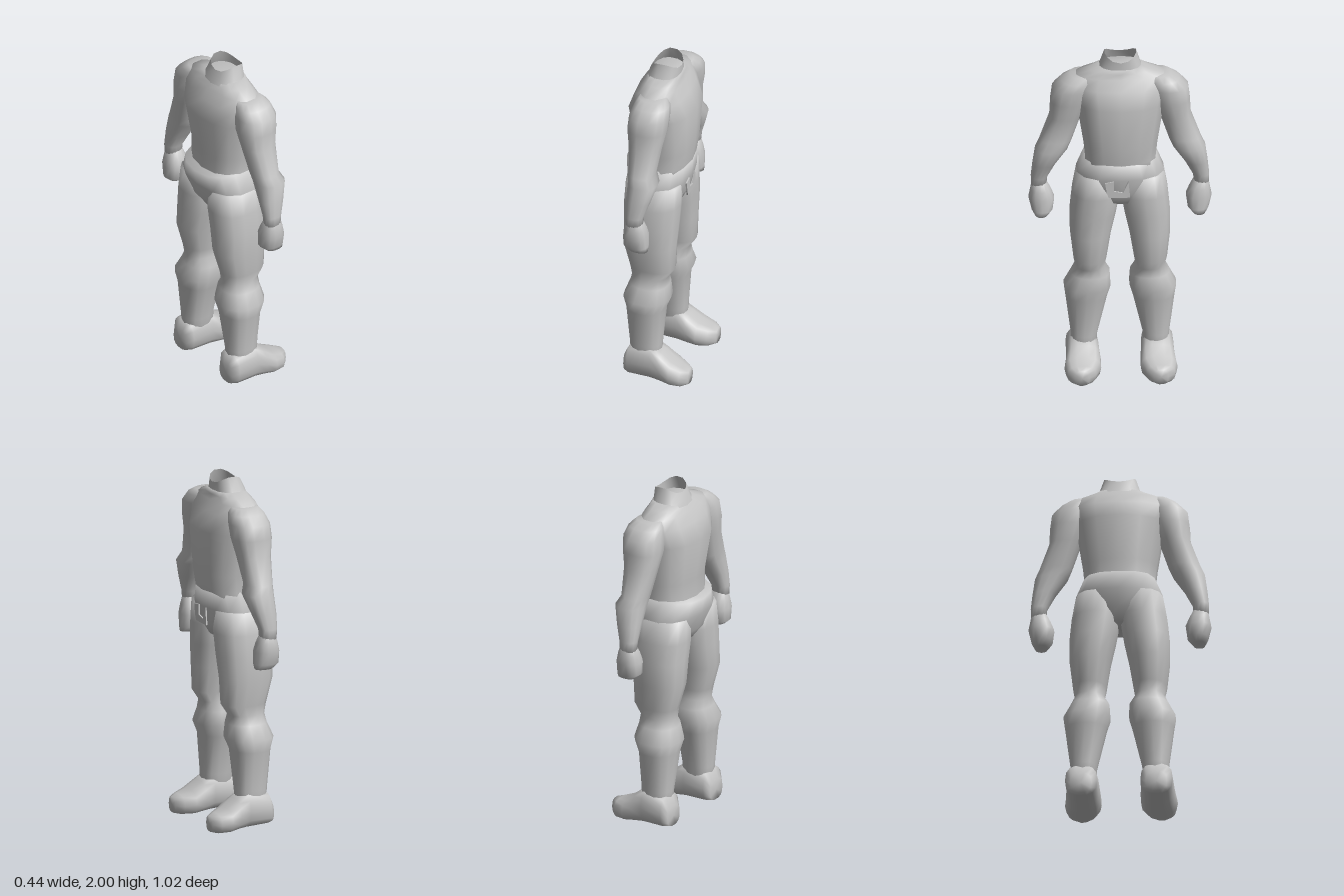
import * as THREE from 'three';

const SIDES = 14;
const grey = new THREE.MeshStandardMaterial({ color: 0xc4c4c4, side: THREE.DoubleSide });
grey.name = 'plain grey';

// Skin over rings [t, u0, u1, v0, v1, dip]; axis 'y' has u = x, v = z; axis 'x' has u = z, v = y
function loft(name, rings, { axis = 'y', power = 0.85, capped = true } = {}) {
  const pos = [], idx = [];
  const put = (t, u, v) => (axis === 'y' ? pos.push(u, t, v) : pos.push(t, v, u));
  const round = (c) => Math.sign(c) * Math.abs(c) ** power;
  rings.forEach(([t, u0, u1, v0, v1, dip = 0]) => {
    for (let j = 0; j < SIDES; j++) {
      const a = (j / SIDES) * Math.PI * 2;
      const c = Math.cos(a), s = Math.sin(a);
      put(t - dip * c * c,
        (u0 + u1) / 2 + ((u1 - u0) / 2) * round(c),
        (v0 + v1) / 2 + ((v1 - v0) / 2) * round(s));
    }
  });
  for (let i = 0; i < rings.length - 1; i++) {
    for (let j = 0; j < SIDES; j++) {
      const a = i * SIDES + j, b = i * SIDES + ((j + 1) % SIDES);
      idx.push(a, a + SIDES, b, b, a + SIDES, b + SIDES);
    }
  }
  if (capped) {
    [0, rings.length - 1].forEach((i) => {
      const [t, u0, u1, v0, v1] = rings[i];
      const mid = pos.length / 3;
      put(t, (u0 + u1) / 2, (v0 + v1) / 2);
      for (let j = 0; j < SIDES; j++) {
        const a = i * SIDES + j, b = i * SIDES + ((j + 1) % SIDES);
        if (i === 0) idx.push(mid, a, b);
        else idx.push(mid, b, a);
      }
    });
  }
  const geo = new THREE.BufferGeometry();
  geo.setAttribute('position', new THREE.Float32BufferAttribute(pos, 3));
  geo.setIndex(idx);
  geo.computeVertexNormals();
  const mesh = new THREE.Mesh(geo, grey);
  mesh.name = name;
  return mesh;
}

// Mirror rings to the other side of z = 0
const flipV = (rings) => rings.map(([t, u0, u1, v0, v1]) => [t, u0, u1, -v1, -v0]);
const flipU = (rings) => rings.map(([t, u0, u1, v0, v1]) => [t, -u1, -u0, v0, v1]);

export function createModel() {
  const model = new THREE.Group();
  model.name = 'headlessFigure';

  // Trunk, with the chest toward +x
  model.add(loft('torso', [
    [1.2, -0.16, 0.13, -0.21, 0.21],
    [1.35, -0.17, 0.15, -0.2, 0.2],
    [1.45, -0.165, 0.165, -0.21, 0.21],
    [1.7, -0.2, 0.18, -0.25, 0.25],
    [1.8, -0.16, 0.135, -0.27, 0.27],
    [1.86, -0.125, 0.1, -0.25, 0.25],
    [1.89, -0.105, 0.09, -0.17, 0.17],
    [1.915, -0.09, 0.085, -0.12, 0.12],
  ]));
  model.add(loft('collar', [
    [1.88, -0.11, 0.085, -0.14, 0.14],
    [1.92, -0.095, 0.085, -0.115, 0.115],
    [2, -0.075, 0.085, -0.09, 0.09, 0.04],
  ], { capped: false }));
  model.add(loft('hips', [
    [1.08, -0.13, 0.09, -0.12, 0.12],
    [1.15, -0.18, 0.125, -0.23, 0.23],
    [1.25, -0.205, 0.145, -0.248, 0.248],
    [1.36, -0.22, 0.152, -0.2, 0.2, 0.015],
  ]));

  // Notched flap at the front of the waist
  const flapShape = new THREE.Shape([
    [-0.09, 1.24], [-0.04, 1.25], [-0.04, 1.19], [0.01, 1.18], [0.04, 1.25],
    [0.05, 1.15], [-0.07, 1.15], [-0.08, 1.18],
  ].map(([x, y]) => new THREE.Vector2(x, y)));
  const flap = new THREE.Mesh(
    new THREE.ExtrudeGeometry(flapShape, { depth: 0.008, bevelEnabled: false }), grey);
  flap.name = 'waistFlap';
  flap.rotation.y = Math.PI / 2;
  flap.position.x = 0.142;
  model.add(flap);

  const leg = [
    [0.06, -0.13, 0.04, 0.13, 0.28],
    [0.22, -0.14, 0.045, 0.125, 0.275],
    [0.45, -0.16, 0.06, 0.07, 0.305],
    [0.52, -0.18, 0.09, 0.05, 0.315],
    [0.6, -0.15, 0.075, 0.055, 0.275],
    [0.65, -0.14, 0.07, 0.085, 0.25],
    [0.71, -0.15, 0.11, 0.075, 0.262],
    [0.86, -0.19, 0.115, 0.05, 0.28],
    [1, -0.19, 0.125, 0.02, 0.28],
    [1.12, -0.195, 0.13, 0, 0.268],
    [1.25, -0.19, 0.13, 0.01, 0.245],
  ];
  // Feet run heel to toe along x
  const foot = [
    [-0.16, 0.15, 0.27, 0.02, 0.14],
    [-0.13, 0.12, 0.3, 0.015, 0.2],
    [0, 0.115, 0.3, 0.01, 0.22],
    [0.06, 0.11, 0.305, 0.005, 0.18],
    [0.12, 0.11, 0.315, 0, 0.135],
    [0.18, 0.14, 0.3, 0, 0.112],
    [0.22, 0.18, 0.26, 0.01, 0.1],
  ];
  const arm = [
    [1.15, -0.07, 0.025, 0.41, 0.495],
    [1.21, -0.075, 0.03, 0.405, 0.497],
    [1.3, -0.08, 0.06, 0.36, 0.488],
    [1.4, -0.08, 0.09, 0.295, 0.475],
    [1.45, -0.085, 0.065, 0.27, 0.45],
    [1.6, -0.105, 0.085, 0.22, 0.395],
    [1.7, -0.12, 0.105, 0.18, 0.39],
    [1.78, -0.115, 0.11, 0.16, 0.38],
    [1.83, -0.1, 0.1, 0.15, 0.33],
    [1.86, -0.08, 0.07, 0.15, 0.28],
  ];
  const hand = [
    [0.98, -0.055, 0.05, 0.405, 0.475],
    [1.01, -0.09, 0.052, 0.375, 0.493],
    [1.08, -0.09, 0.05, 0.365, 0.51],
    [1.13, -0.08, 0.04, 0.385, 0.5],
    [1.19, -0.06, 0.02, 0.415, 0.49],
  ];
  const v = { axis: 'x', power: 0.75 };
  model.add(loft('leftLeg', flipV(leg)), loft('rightLeg', leg));
  model.add(loft('leftFoot', flipU(foot), v), loft('rightFoot', foot, v));
  model.add(loft('leftArm', flipV(arm)), loft('rightArm', arm));
  model.add(loft('leftHand', flipV(hand)), loft('rightHand', hand));
  return model;
}
